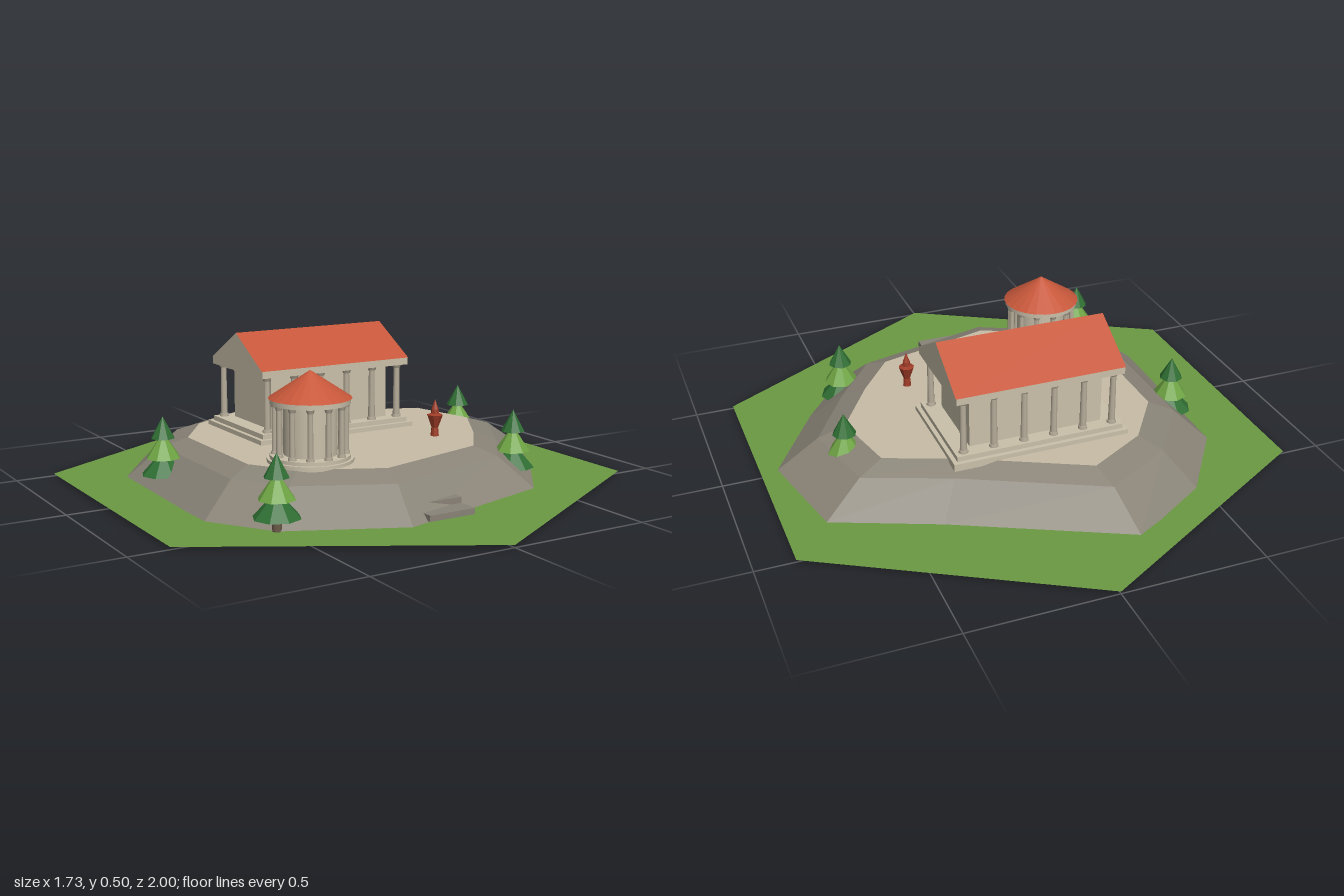
import * as THREE from 'three';

const mat = (name, color, side = THREE.FrontSide) => {
  const m = new THREE.MeshStandardMaterial({ color, side });
  m.name = name;
  return m;
};

export function createModel() {
  const grass = mat('grass green', 0x6a9a42, THREE.DoubleSide);
  const rock = mat('rock grey', 0x8a8478, THREE.DoubleSide);
  const sand = mat('plateau sand', 0xc8bda6);
  const marble = mat('marble', 0xcbc1ab);
  const column = mat('column stone', 0xb8ae9b);
  const tile = mat('roof tile', 0xc6573a);
  const bronze = mat('statue red', 0xa03d28);
  const darkLeaf = mat('dark leaf', 0x2f6e33);
  const lightLeaf = mat('light leaf', 0x6fa544);
  const bark = mat('bark', 0x6a5a48);

  const root = new THREE.Group();
  root.name = 'hilltopSanctuary';

  const group = (name, x = 0, y = 0, z = 0) => {
    const g = new THREE.Group();
    g.name = name;
    g.position.set(x, y, z);
    root.add(g);
    return g;
  };
  const add = (parent, name, geo, material, x = 0, y = 0, z = 0) => {
    const m = new THREE.Mesh(geo, material);
    m.name = name;
    m.position.set(x, y, z);
    parent.add(m);
    return m;
  };
  // Faceted normals
  const flat = (geo) => {
    const g = geo.index ? geo.toNonIndexed() : geo;
    g.computeVertexNormals();
    return g;
  };
  const box = (parent, name, w, y0, y1, d, material, x = 0, z = 0) =>
    add(parent, name, new THREE.BoxGeometry(w, y1 - y0, d), material, x, (y0 + y1) / 2, z);
  const drum = (parent, name, rTop, rBottom, y0, y1, sides, material, x = 0, z = 0) =>
    add(parent, name, new THREE.CylinderGeometry(rTop, rBottom, y1 - y0, sides), material, x, (y0 + y1) / 2, z);
  const fromTriangles = (pts) =>
    flat(new THREE.BufferGeometry().setFromPoints(pts));

  // Hexagonal lawn
  const lawn = new THREE.CircleGeometry(1, 6, Math.PI / 2);
  lawn.rotateX(-Math.PI / 2);
  add(root, 'lawn', lawn, grass, 0, 0.008, 0);

  // Rocky mound: outline as x, foot height, z
  const outline = [
    [0.81, 0.02, 0], [0.62, 0.02, 0.31], [0.44, 0.015, 0.55], [-0.16, 0.012, 0.71],
    [-0.53, 0.01, 0.53], [-0.67, 0.01, 0.32], [-0.67, 0, -0.33], [-0.48, 0, -0.6],
    [-0.18, 0.012, -0.77], [0.38, 0.01, -0.49], [0.73, 0.015, -0.35],
  ];
  const topY = 0.145;
  const rings = [
    outline.map(([x, y, z]) => new THREE.Vector3(x, y, z)),
    outline.map(([x, , z]) => new THREE.Vector3(x * 0.82, 0.115, z * 0.82)),
    outline.map(([x, , z]) => new THREE.Vector3(x * 0.7, topY, z * 0.7)),
  ];
  const n = outline.length;
  const slope = [];
  const plateau = [];
  for (let i = 0; i < n; i++) {
    const j = (i + 1) % n;
    for (let k = 0; k < 2; k++) {
      const lo = rings[k], hi = rings[k + 1];
      slope.push(lo[j], lo[i], hi[i], lo[j], hi[i], hi[j]);
    }
    plateau.push(new THREE.Vector3(0, topY, 0), rings[2][j], rings[2][i]);
  }
  add(root, 'moundSlope', fromTriangles(slope), rock);
  add(root, 'plateau', fromTriangles(plateau), sand);

  // Stone steps at the front foot of the mound
  const steps = group('frontSteps');
  box(steps, 'lowerStep', 0.17, 0.015, 0.035, 0.1, rock, -0.005, 0.65);
  box(steps, 'upperStep', 0.17, 0.02, 0.055, 0.1, rock, -0.005, 0.58);

  // Column with base and capital
  const addColumn = (parent, x, z, y0, y1, r) => {
    drum(parent, 'columnShaft', r * 0.82, r, y0, y1, 8, column, x, z);
    drum(parent, 'columnBase', r * 1.25, r * 1.35, y0, y0 + 0.01, 8, column, x, z);
    drum(parent, 'columnCapital', r * 1.45, r, y1 - 0.014, y1, 8, column, x, z);
  };

  // Rectangular temple
  const temple = group('temple', 0, 0, -0.19);
  box(temple, 'lowerPlinth', 0.62, topY - 0.01, 0.161, 0.41, marble);
  box(temple, 'upperPlinth', 0.59, 0.161, 0.178, 0.38, marble);
  box(temple, 'innerHall', 0.47, 0.178, 0.372, 0.28, marble);
  box(temple, 'entablature', 0.59, 0.37, 0.395, 0.38, marble);
  for (const z of [-0.165, 0.165])
    for (let i = 0; i < 6; i++) addColumn(temple, -0.265 + i * 0.106, z, 0.178, 0.371, 0.0125);

  // Gable roof: stone pediments, tiled slopes
  const gable = new THREE.Shape([
    new THREE.Vector2(-0.192, 0), new THREE.Vector2(0.192, 0), new THREE.Vector2(0, 0.11),
  ]);
  const roof = new THREE.ExtrudeGeometry(gable, { depth: 0.594, bevelEnabled: false });
  roof.translate(0, 0, -0.297);
  roof.rotateY(Math.PI / 2);
  add(temple, 'gableRoof', roof, [marble, tile], 0, 0.395, 0);

  // Round temple
  const rotunda = group('rotunda', -0.27, 0, 0.28);
  drum(rotunda, 'rotundaLowerPlinth', 0.142, 0.142, topY - 0.01, 0.156, 24, marble);
  drum(rotunda, 'rotundaUpperPlinth', 0.132, 0.132, 0.156, 0.168, 24, marble);
  drum(rotunda, 'rotundaHall', 0.088, 0.088, 0.168, 0.337, 24, marble);
  drum(rotunda, 'rotundaEntablature', 0.131, 0.131, 0.335, 0.352, 24, marble);
  for (let i = 0; i < 12; i++) {
    const a = (i / 12) * Math.PI * 2;
    addColumn(rotunda, Math.cos(a) * 0.115, Math.sin(a) * 0.115, 0.168, 0.336, 0.0105);
  }
  add(rotunda, 'conicalRoof', flat(new THREE.ConeGeometry(0.136, 0.09, 24)), tile, 0, 0.397, 0);

  // Statue
  const profile = [[0, 0], [0.015, 0], [0.012, 0.03], [0.028, 0.075], [0.014, 0.08], [0.013, 0.095], [0, 0.13]];
  const statue = new THREE.LatheGeometry(profile.map(([x, y]) => new THREE.Vector2(x, y)), 8);
  add(root, 'statue', flat(statue), bronze, 0.285, topY, 0.19);

  // Fir trees: trunk and three stacked cones
  const tiers = [
    ['lowerBranches', 0.077, 0.05, 0.135, darkLeaf],
    ['middleBranches', 0.06, 0.107, 0.195, lightLeaf],
    ['treeTop', 0.041, 0.175, 0.25, darkLeaf],
  ];
  for (const [x, z] of [[-0.6, -0.145], [-0.525, 0.52], [0.48, 0.38], [0.595, -0.1]]) {
    const tree = group('firTree', x, 0, z);
    drum(tree, 'trunk', 0.013, 0.016, 0.008, 0.07, 8, bark);
    for (const [name, r, y0, y1, material] of tiers)
      add(tree, name, flat(new THREE.ConeGeometry(r, y1 - y0, 8)), material, 0, (y0 + y1) / 2, 0);
  }

  return root;
}
